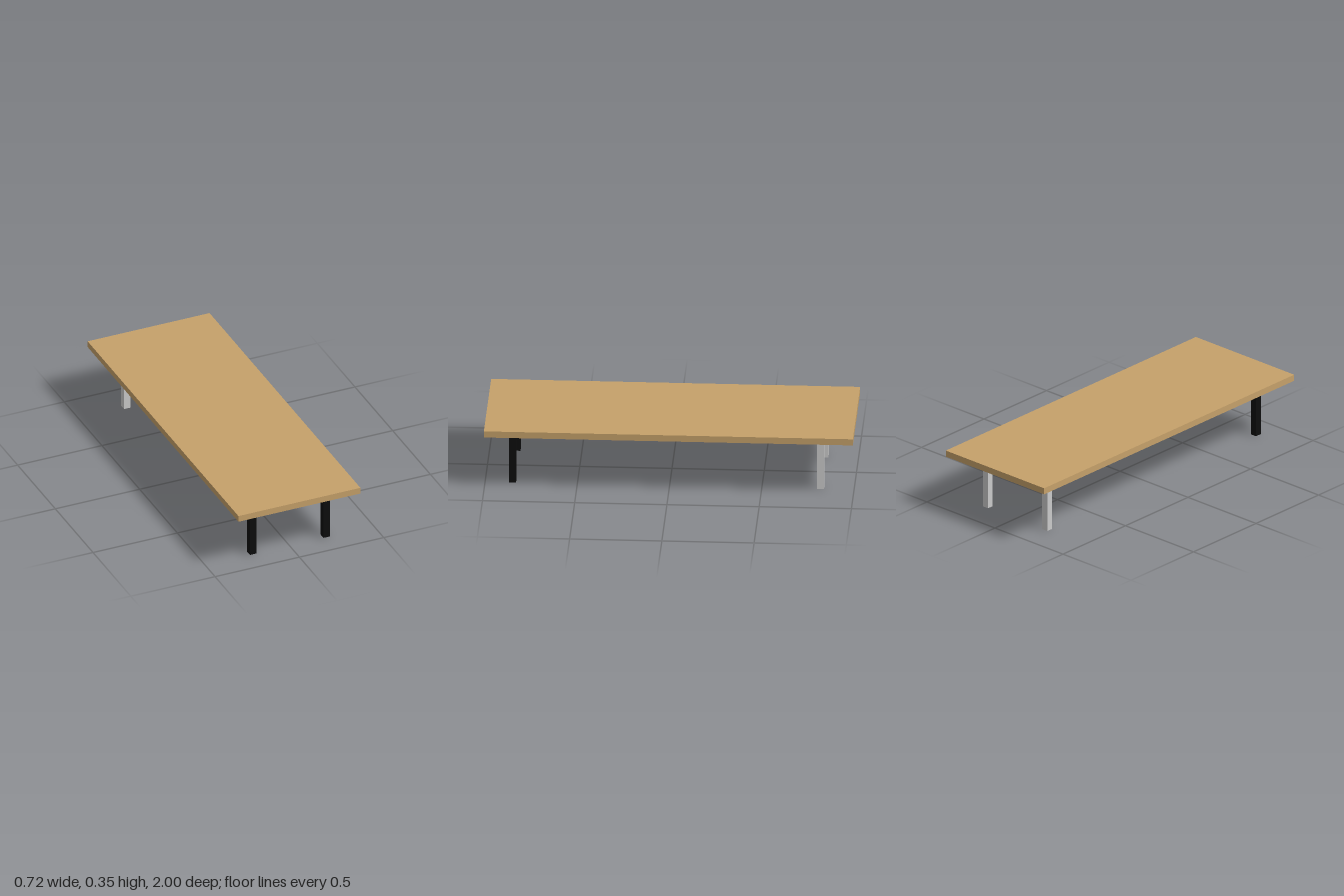
import * as THREE from 'three';

export function createModel() {
  const model = new THREE.Group();
  const wood = new THREE.MeshStandardMaterial({ color: 0xc6a16a });
  const black = new THREE.MeshStandardMaterial({ color: 0x0d0d0d });
  const grey = new THREE.MeshStandardMaterial({ color: 0xcccccc });

  const topHeight = 0.349, topThickness = 0.036;
  const legHeight = topHeight - topThickness, legWidth = 0.038;

  // Long flat slab
  const tabletop = new THREE.Mesh(new THREE.BoxGeometry(0.723, topThickness, 2), wood);
  tabletop.name = 'tabletop';
  tabletop.position.y = topHeight - topThickness / 2;
  model.add(tabletop);

  // Square legs: black pair at the front, grey pair at the back
  const legGeometry = new THREE.BoxGeometry(legWidth, legHeight, legWidth);
  const pairs = [['front', 0.851, black], ['back', -0.818, grey]];
  for (const [end, z, material] of pairs) {
    for (const [side, x] of [['Left', 0.22], ['Right', -0.216]]) {
      const leg = new THREE.Mesh(legGeometry, material);
      leg.name = `${end}${side}Leg`;
      leg.position.set(x, legHeight / 2, z);
      model.add(leg);
    }
  }
  return model;
}
